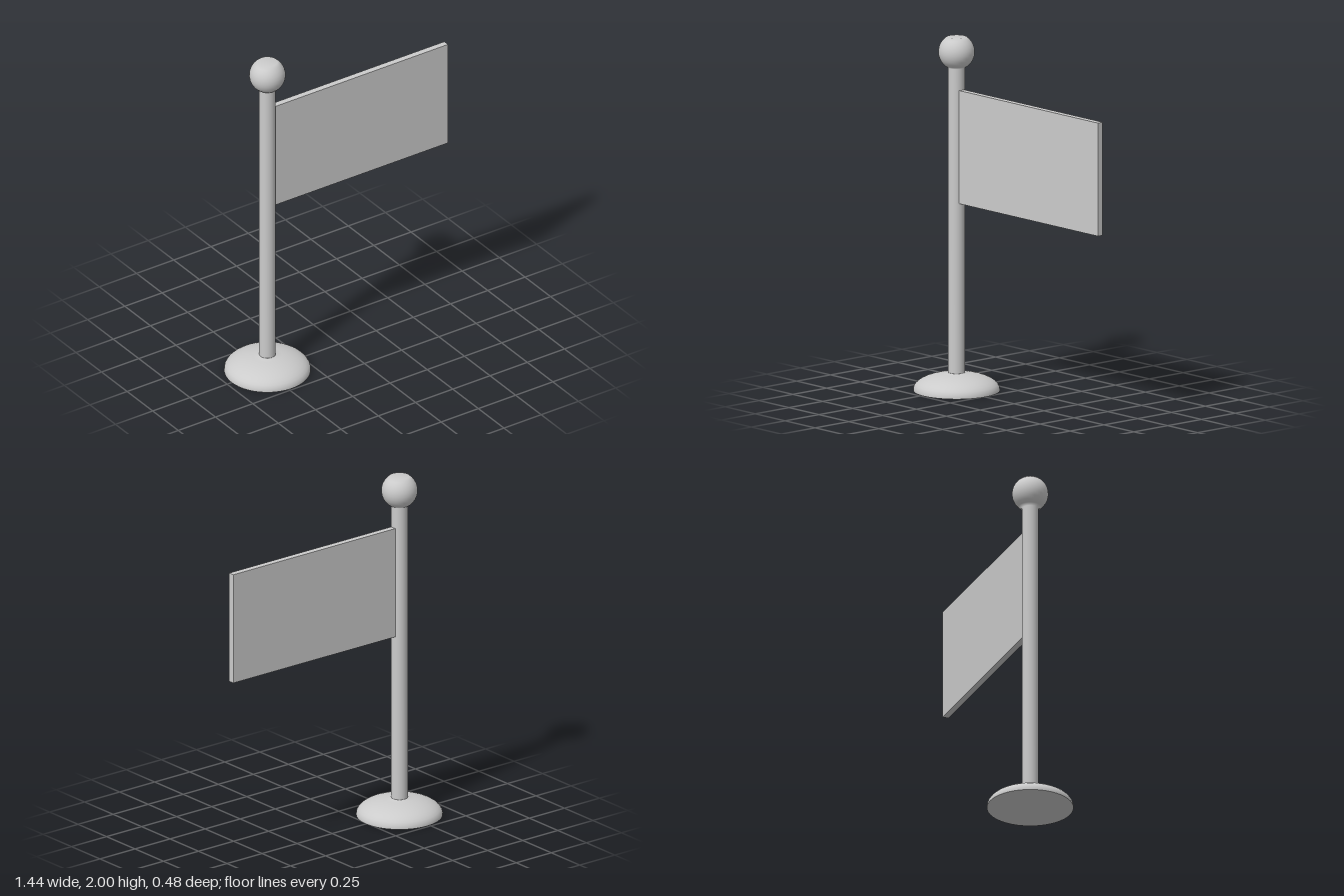
import * as THREE from 'three';

export function createModel() {
  const group = new THREE.Group();
  const material = new THREE.MeshStandardMaterial({ color: 0xcccccc });
  const poleX = -0.48, poleRadius = 0.046;

  const add = (name, geometry, x, y) => {
    const mesh = new THREE.Mesh(geometry, material);
    mesh.name = name;
    mesh.position.set(x, y, 0);
    group.add(mesh);
  };
  const lathe = (points) => new THREE.LatheGeometry(points, 48);

  // Flat underside
  add('baseUnderside', lathe([new THREE.Vector2(0, 0), new THREE.Vector2(0.24, 0)]), poleX, 0);

  // Domed foot, shaft and ball turned as one smooth profile
  const profile = [new THREE.Vector2(0.24, 0)];
  for (let i = 0; i <= 9; i++) {
    const a = (i / 9) * 1.38;
    profile.push(new THREE.Vector2(0.24 * Math.cos(a), 0.008 + 0.094 * Math.sin(a)));
  }
  profile.push(new THREE.Vector2(poleRadius, 0.105));

  const ballRadius = 0.101, ballY = 1.916;
  const start = -Math.acos(poleRadius / ballRadius), end = Math.asin((2 - ballY) / ballRadius);
  for (let i = 0; i <= 10; i++) {
    const a = start + (end - start) * (i / 10);
    profile.push(new THREE.Vector2(ballRadius * Math.cos(a), ballY + ballRadius * Math.sin(a)));
  }
  profile.push(new THREE.Vector2(0, 2));
  add('pole', lathe(profile), poleX, 0);

  // Stiff rectangular flag, its inner edge set into the shaft
  const flagLeft = -0.46, flagRight = 0.72;
  add('flag', new THREE.BoxGeometry(flagRight - flagLeft, 0.64, 0.036), (flagLeft + flagRight) / 2, 1.385);

  return group;
}
